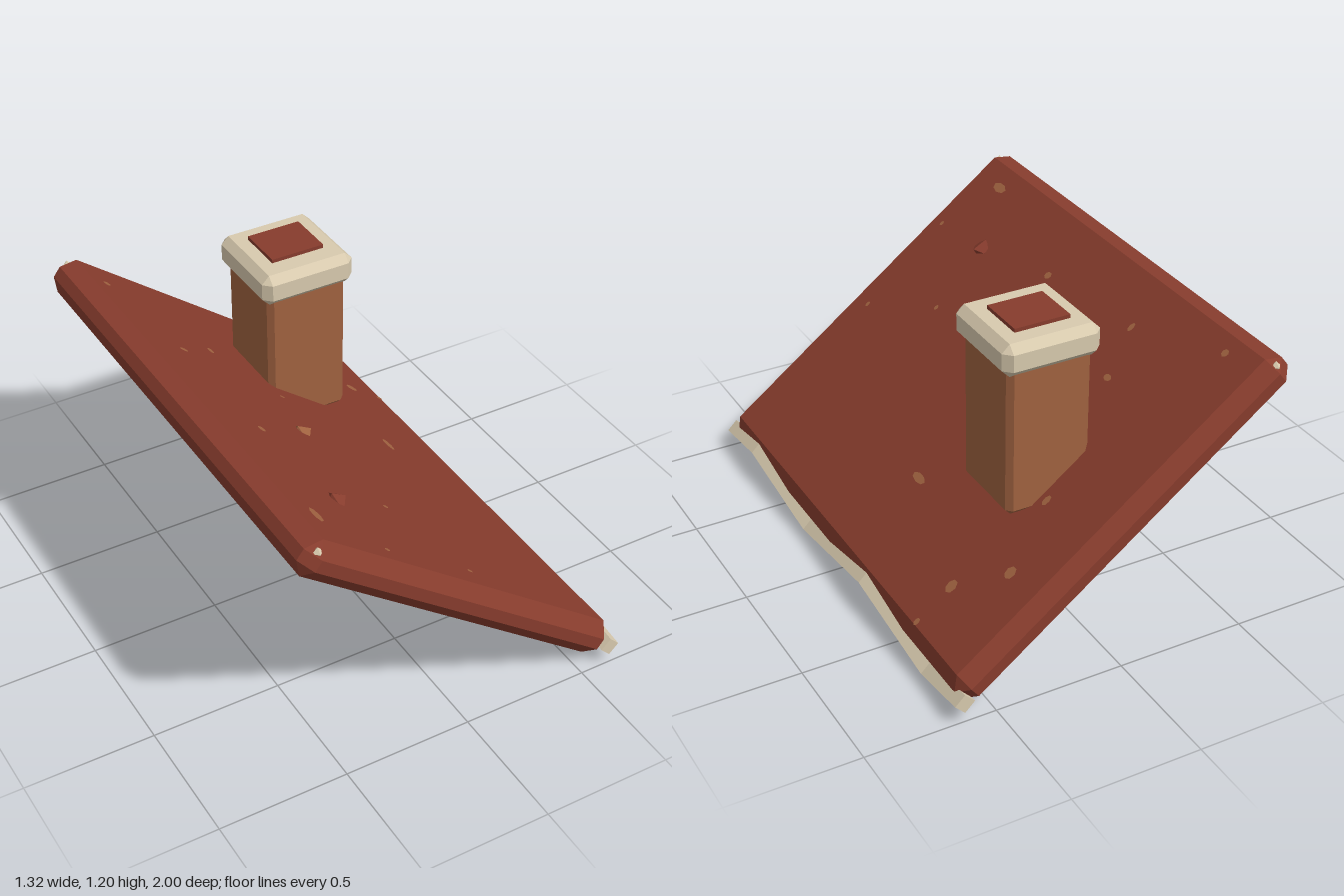
import * as THREE from 'three';
import { ConvexGeometry } from 'three/addons/geometries/ConvexGeometry.js';

const mat = (name, color) => {
  const m = new THREE.MeshStandardMaterial({ color });
  m.name = name;
  return m;
};

// Box with every edge bevelled by c
function chamferBox(w, h, d, c) {
  const pts = [];
  for (const x of [-1, 1]) for (const y of [-1, 1]) for (const z of [-1, 1]) {
    for (const full of [0, 1, 2]) {
      const cut = [c, c, c];
      cut[full] = 0;
      pts.push(new THREE.Vector3(x * (w / 2 - cut[0]), y * (h / 2 - cut[1]), z * (d / 2 - cut[2])));
    }
  }
  return new ConvexGeometry(pts);
}

// Square-section beam swept through [z, y] points, corners pointing up/down/sideways
function zigzagBeam(path, r) {
  const pos = [];
  const ring = ([z, y]) => [[r, 0], [0, r], [-r, 0], [0, -r]].map(([a, b]) => [a, y + b, z]);
  const quad = (a, b, c, d) => pos.push(...a, ...b, ...c, ...a, ...c, ...d);
  const rings = path.map(ring);
  for (let i = 0; i + 1 < rings.length; i++) {
    for (let k = 0; k < 4; k++) {
      const n = (k + 1) % 4;
      quad(rings[i][k], rings[i][n], rings[i + 1][n], rings[i + 1][k]);
    }
  }
  const s = rings[0], e = rings[rings.length - 1];
  quad(s[3], s[2], s[1], s[0]);
  quad(e[0], e[1], e[2], e[3]);
  const g = new THREE.BufferGeometry();
  g.setAttribute('position', new THREE.Float32BufferAttribute(pos, 3));
  g.computeVertexNormals();
  return g;
}

export function createModel() {
  const root = new THREE.Group();
  root.name = 'roofWithChimney';
  const red = mat('roofRed', 0x873c2d);
  const clay = mat('clayBrown', 0xa06240);
  const cream = mat('creamStone', 0xd8caae);

  const add = (name, geo, m, x, y, z, parent = root) => {
    const mesh = new THREE.Mesh(geo, m);
    mesh.name = name;
    mesh.position.set(x, y, z);
    parent.add(mesh);
    return mesh;
  };

  // Sloping roof slab
  const slope = -0.648;
  const roof = new THREE.Group();
  roof.name = 'roof';
  roof.position.set(-0.014, 0.551, 0);
  roof.rotation.z = slope;
  root.add(roof);
  add('roofSlab', chamferBox(1.586, 0.146, 1.99, 0.05), red, 0, 0, 0, roof);

  // Worn clay flecks on the upper face: [x, z, half width, half length]
  const flecks = [
    [-0.51, -0.79, 0.016, 0.016], [0.33, -0.79, 0.026, 0.023], [0.12, -0.67, 0.022, 0.014],
    [0.475, -0.63, 0.028, 0.023], [0.612, -0.63, 0.016, 0.012], [-0.25, -0.455, 0.014, 0.02],
    [-0.405, -0.36, 0.02, 0.012], [0.335, -0.11, 0.018, 0.042], [-0.07, -0.225, 0.012, 0.007],
    [-0.37, 0.175, 0.016, 0.018], [-0.07, 0.525, 0.012, 0.01], [-0.492, 0.775, 0.021, 0.042],
    [-0.285, 0.885, 0.012, 0.009], [0.07, 0.86, 0.012, 0.009],
  ];
  for (const [x, z, a, b] of flecks) {
    const fleck = add('fleck', new THREE.CircleGeometry(1, 7), clay, (x - 0.03) / Math.cos(slope), 0.0755, z, roof);
    fleck.rotation.x = -Math.PI / 2;
    fleck.scale.set(a, b, 1);
  }

  // Small chips at the two upper corners
  for (const s of [-1, 1]) {
    add('cornerChip', new THREE.OctahedronGeometry(0.02), cream, -0.594, 1.033, s * 0.965);
  }

  // Raised broken tiles
  for (const [x, y, z, m] of [[-0.312, 0.853, 0.588, red], [-0.143, 0.72, 0.05, clay]]) {
    const tile = add('raisedTile', new THREE.OctahedronGeometry(0.044), m, x, y, z);
    tile.rotation.z = 0.28;
    tile.scale.z = 1.4;
  }

  // Zigzag trim along the eave
  const wave = [[-1, 0.075], [-0.745, 0.038], [-0.25, 0.108], [0.25, 0.038], [0.745, 0.108], [1, 0.075]];
  add('eaveTrim', zigzagBeam(wave, 0.038), cream, 0.62, 0, 0);

  // Chimney
  const chimney = new THREE.Group();
  chimney.name = 'chimney';
  chimney.position.set(0.09, 0, -0.47);
  root.add(chimney);
  add('chimneyBody', chamferBox(0.328, 0.6, 0.328, 0.021), clay, 0, 0.79, 0, chimney);
  add('chimneyCap', chamferBox(0.38, 0.125, 0.38, 0.03), cream, 0, 1.118, 0, chimney);
  add('chimneyOpening', new THREE.BoxGeometry(0.216, 0.03, 0.19), red, 0, 1.18, -0.005, chimney);
  return root;
}
